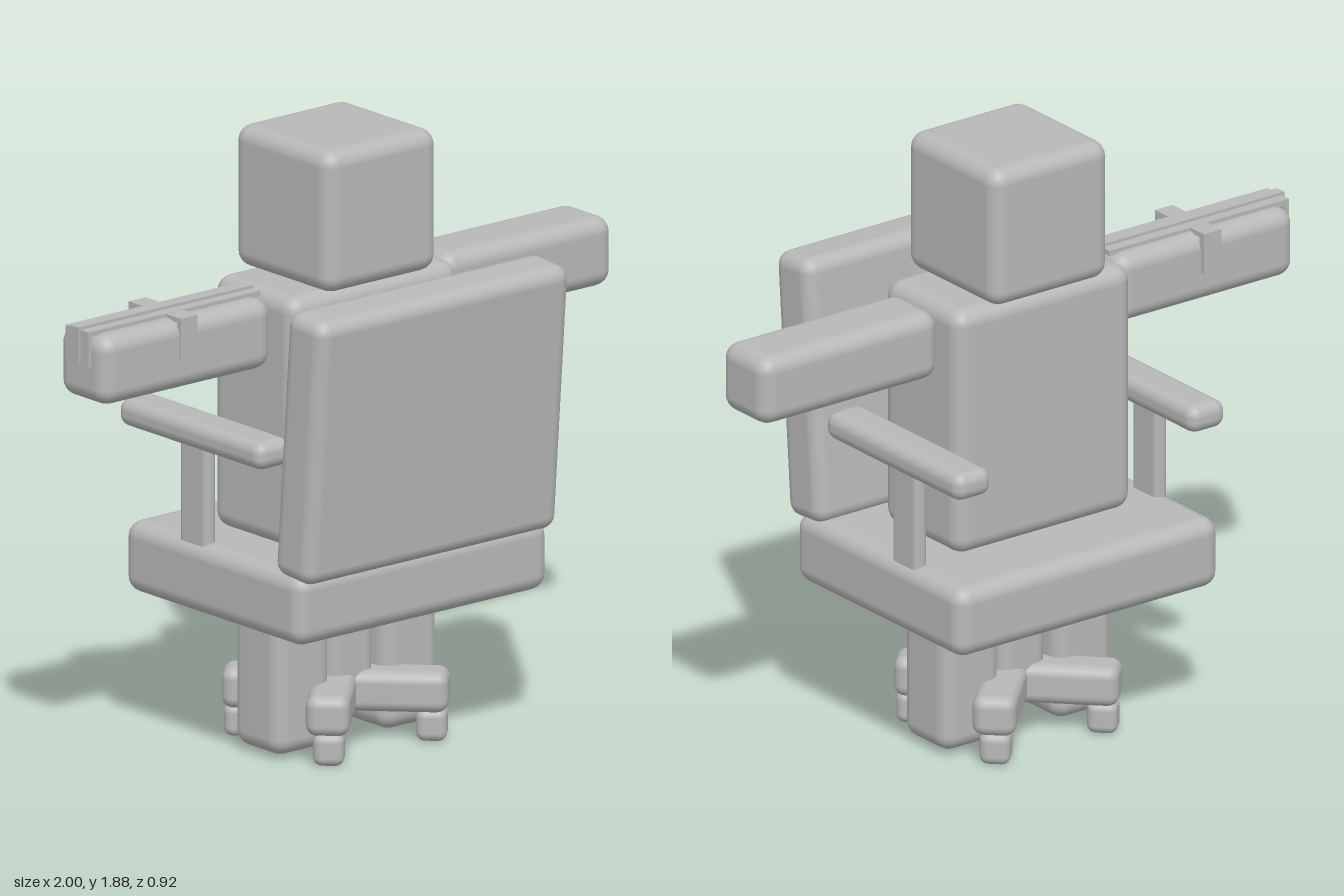
import * as THREE from 'three';
import { RoundedBoxGeometry } from 'three/addons/geometries/RoundedBoxGeometry.js';

const grey = new THREE.MeshStandardMaterial({ color: 0xb8b8b8 });
grey.name = 'plain grey';

const CX = 0.0075; // body mid-line
const CZ = -0.047; // body mid-depth

export function createModel() {
  const model = new THREE.Group();
  model.name = 'seatedBlockFigure';

  const add = (name, geometry, x, y, z) => {
    const mesh = new THREE.Mesh(geometry, grey);
    mesh.name = name;
    mesh.position.set(x, y, z);
    model.add(mesh);
    return mesh;
  };
  // rounded block: size, centre, edge radius
  const block = (name, [w, h, d], [x, y, z], r) =>
    add(name, new RoundedBoxGeometry(w, h, d, 3, r), x, y, z);
  // sharp plate given by its limits
  const plate = (name, x0, x1, y0, y1, z0, z1) =>
    add(name, new THREE.BoxGeometry(x1 - x0, y1 - y0, z1 - z0),
      (x0 + x1) / 2, (y0 + y1) / 2, (z0 + z1) / 2);

  // figure
  block('head', [0.435, 0.437, 0.44], [CX, 1.661, CZ], 0.05);
  block('torso', [0.655, 0.775, 0.373], [CX, 1.057, CZ], 0.05);

  // chair seat, back and column
  block('seat', [0.975, 0.22, 0.81], [CX, 0.56, -0.045], 0.05);
  const back = block('backrest', [0.975, 0.828, 0.17], [CX, 1.063, 0.346], 0.045);
  back.rotation.x = 0.077;
  block('column', [0.173, 0.42, 0.173], [CX, 0.3, CZ], 0.045);

  // paired parts
  for (const s of [-1, 1]) {
    const side = s < 0 ? 'right' : 'left';
    block(side + 'Arm', [0.66, 0.215, 0.218], [CX + s * 0.659, 1.328, CZ], 0.05);
    block(side + 'Leg', [0.217, 0.56, 0.218], [CX + s * 0.208, 0.292, CZ], 0.05);
    block(side + 'Armrest', [0.134, 0.086, 0.655], [CX + s * 0.434, 1.003, -0.133], 0.036);
    block(side + 'ArmrestPost', [0.046, 0.36, 0.125], [CX + s * 0.445, 0.815, -0.152], 0.02);

    // crossed base bar
    const bar = block(side + 'BaseBar', [0.67, 0.125, 0.13], [CX, 0.153, CZ], 0.035);
    bar.rotation.y = s * Math.PI / 4;

    // casters under the bar ends
    for (const f of [-1, 1]) {
      const caster = block('caster', [0.092, 0.1, 0.092],
        [CX + s * 0.199, 0.05, CZ + f * 0.203], 0.027);
      caster.rotation.y = Math.PI / 4;
    }
  }

  // rails lying along the right arm and bent over its end; middle one stands proud
  for (const i of [-1, 0, 1]) {
    const z = -0.052 + i * 0.035;
    const top = i === 0 ? 1.456 : 1.447;
    const end = i === 0 ? -1 : -0.991;
    plate('armRail', end, -0.325, 1.43, top, z - 0.0175, z + 0.0175);
    plate('armRailEnd', end, -0.975, 1.337, top, z - 0.0175, z + 0.0175);
  }

  // bracket straddling the right arm
  plate('bracketTop', -0.69, -0.625, 1.43, 1.446, -0.17, 0.068);
  plate('bracketBackFlap', -0.69, -0.625, 1.318, 1.446, -0.17, -0.15);
  plate('bracketFrontFlap', -0.69, -0.625, 1.318, 1.446, 0.05, 0.068);

  return model;
}
